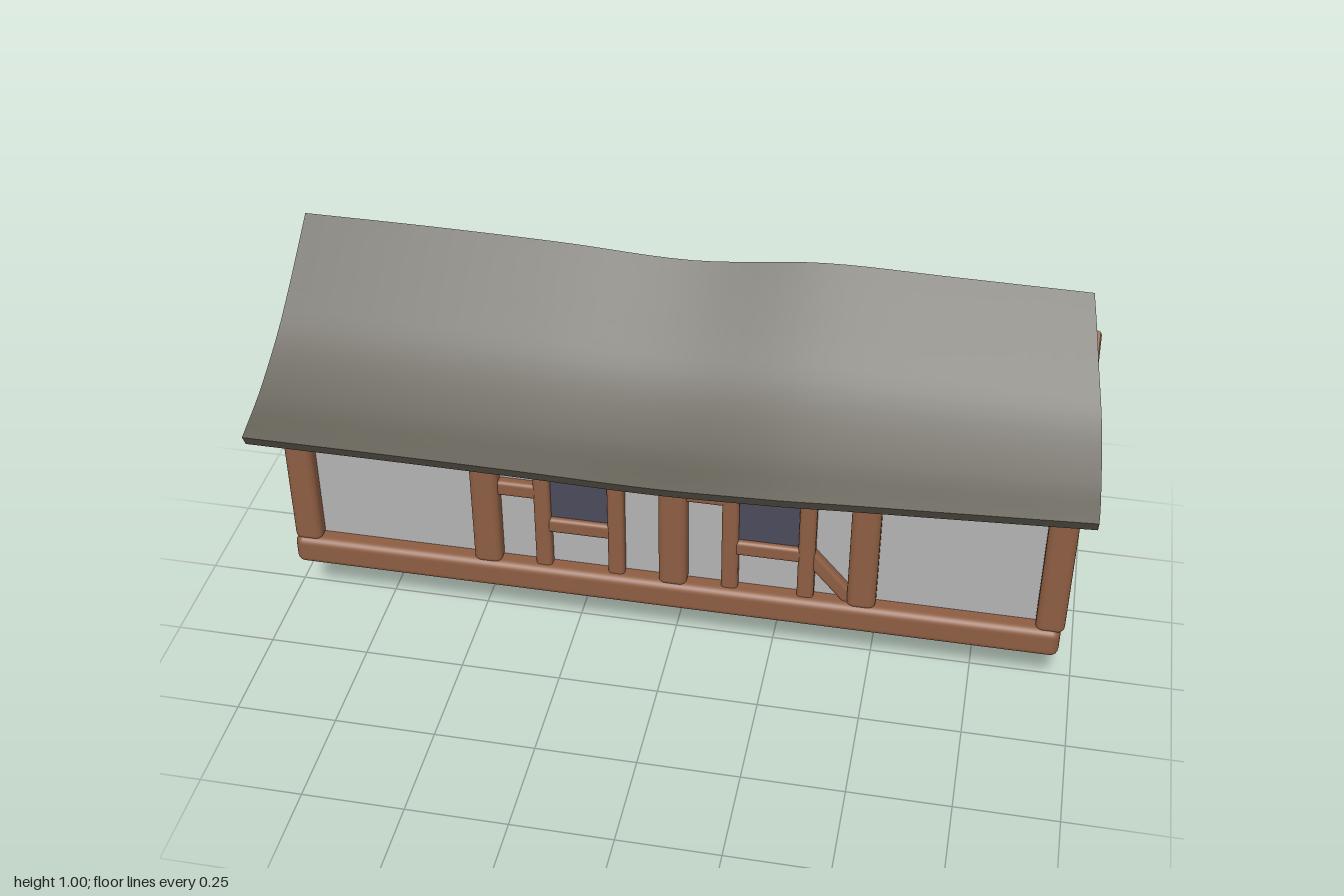
import * as THREE from 'three';
import { RoundedBoxGeometry } from 'three/addons/geometries/RoundedBoxGeometry.js';

export function createModel() {
  const model = new THREE.Group();
  const mat = (name, color, side = THREE.FrontSide) => {
    const m = new THREE.MeshStandardMaterial({ color, side });
    m.name = name;
    return m;
  };
  const wood = mat('timber', 0x8d5d42);
  const boards = mat('floorBoards', 0x83603f, THREE.DoubleSide);
  const slate = mat('darkRoof', 0x545044);
  const plaster = mat('plaster', 0xb2b2b2, THREE.DoubleSide);
  const glass = mat('windowGlass', 0x4a4a5c);

  const add = (name, geo, material) => {
    const mesh = new THREE.Mesh(geo, material);
    mesh.name = name;
    model.add(mesh);
    return mesh;
  };
  const up = new THREE.Vector3(0, 1, 0);
  // Place a y-aligned geometry so that it runs from a to b
  const span = (mesh, a, b) => {
    mesh.position.copy(a).add(b).multiplyScalar(0.5);
    mesh.quaternion.setFromUnitVectors(up, b.clone().sub(a).normalize());
  };
  // Soft-edged timber between two points
  const timber = (name, a, b, w, d) => {
    const p = new THREE.Vector3(...a), q = new THREE.Vector3(...b);
    const geo = new RoundedBoxGeometry(w, p.distanceTo(q), d, 3, Math.min(w, d) * 0.25);
    span(add(name, geo, wood), p, q);
  };

  const Z = 0.08; // plane of the front wall

  // Sill and wall plate
  timber('sill', [-0.96, 0.206, 0.084], [0.957, 0.206, 0.084], 0.08, 0.08);
  timber('wallPlate', [-0.94, 0.635, Z], [0.94, 0.635, Z], 0.06, 0.065);

  // Main and thin posts
  for (const x of [-0.925, -0.457, 0.01, 0.475, 0.93])
    timber('mainPost', [x, 0.235, Z], [x, 0.645, Z], 0.07, 0.072);
  for (const x of [-0.315, -0.132, 0.15, 0.337])
    timber('thinPost', [x, 0.235, Z], [x, 0.63, Z], 0.041, 0.05);

  // Rails: x start, x end, height
  for (const [x0, x1, y] of [
    [-0.44, -0.32, 0.465], [-0.315, -0.132, 0.572], [-0.315, -0.132, 0.368],
    [0.02, 0.15, 0.513], [0.15, 0.337, 0.57], [0.15, 0.337, 0.368]])
    timber('rail', [x0, y, Z], [x1, y, Z], 0.043, 0.045);

  // Diagonal braces
  timber('brace', [-0.125, 0.64, Z], [-0.005, 0.53, Z], 0.04, 0.042);
  timber('brace', [0.335, 0.378, Z], [0.455, 0.24, Z], 0.04, 0.042);

  // Floor beams running back, and the floor between them
  for (const x of [-0.92, 0.01, 0.475, 0.92])
    timber('floorBeam', [x, 0.209, 0.06], [x, 0.208, -0.212], 0.07, 0.066);
  const floor = add('floor', new THREE.BoxGeometry(1.85, 0.006, 0.26), boards);
  floor.position.set(0, 0.232, -0.05);

  // Front wall panel and windows
  add('frontWall', new THREE.PlaneGeometry(1.86, 0.42), plaster).position.set(0, 0.435, Z);
  for (const x of [-0.223, 0.243])
    add('window', new THREE.BoxGeometry(0.16, 0.2, 0.006), glass).position.set(x, 0.47, Z + 0.006);

  // End walls, drawn in (z, y)
  const shapeOf = (pts) => new THREE.Shape(pts.map(([a, b]) => new THREE.Vector2(a, b)));
  const wallShape = shapeOf([[Z, 0.235], [Z, 0.665], [-0.11, 0.803], [-0.18, 0.803], [-0.18, 0.235]]);
  for (const x of [-0.925, 0.93]) {
    const wall = add('endWall', new THREE.ShapeGeometry(wallShape), plaster);
    wall.rotation.y = -Math.PI / 2;
    wall.position.x = x;
  }

  // Curved rafters
  const rafterShape = shapeOf([
    [0.11, 0.635], [0.055, 0.647], [0, 0.685], [-0.07, 0.735], [-0.217, 0.865],
    [-0.184, 0.902], [-0.06, 0.785], [0, 0.732], [0.06, 0.69], [0.11, 0.655]]);
  for (const x of [-0.925, -0.457, 0.93]) {
    const geo = new THREE.ExtrudeGeometry(rafterShape, {
      depth: 0.045, bevelEnabled: true, bevelThickness: 0.011, bevelSize: 0.008, bevelSegments: 2 });
    geo.translate(0, 0, -0.0225);
    const rafter = add('rafter', geo, wood);
    rafter.rotation.y = -Math.PI / 2;
    rafter.position.x = x;
  }

  // Sagging roof: a slab bent along a (z, y) profile with an uneven ridge
  const profile = new THREE.CatmullRomCurve3([
    [0.235, 0.628], [0.13, 0.682], [0, 0.768], [-0.1, 0.862], [-0.225, 0.986],
  ].map(([z, y]) => new THREE.Vector3(0, y, z)));
  const sag = new THREE.CatmullRomCurve3([
    [-1, -0.003], [-0.66, -0.005], [-0.33, -0.012], [0, -0.025], [0.33, 0.004], [0.66, 0.001], [1, -0.003],
  ].map(([x, y]) => new THREE.Vector3(x, y, 0)));
  const roofGeo = new THREE.BoxGeometry(2, 0.034, 1, 36, 1, 16);
  const pos = roofGeo.attributes.position;
  for (let i = 0; i < pos.count; i++) {
    const u = pos.getX(i), h = pos.getY(i), v = 0.5 - pos.getZ(i);
    const p = profile.getPoint(v), t = profile.getTangent(v);
    const narrow = u < 0 ? 0.04 * v : 0.065 * v * v;
    const tuck = 0.04 * Math.max(0, (u - 0.3) / 0.7) * (1 - v) ** 2;
    const dip = sag.getPoint((u + 1) / 2).y * (0.35 + 0.65 * v);
    pos.setXYZ(i, u * (1 - narrow), p.y + dip - t.z * h + tuck * 0.3, p.z + t.y * h - tuck);
  }
  roofGeo.computeVertexNormals();
  add('roof', roofGeo, slate);

  // Slanted support struts below the sill
  for (const [x, lean] of [[-0.455, -0.008], [0.003, 0.006], [0.482, 0.01]]) {
    const a = new THREE.Vector3(x, 0.2, 0.065), b = new THREE.Vector3(x + lean, 0.024, -0.155);
    const geo = new THREE.CylinderGeometry(0.023, 0.019, a.distanceTo(b), 10);
    span(add('strut', geo, slate), a, b);
  }

  return model;
}
